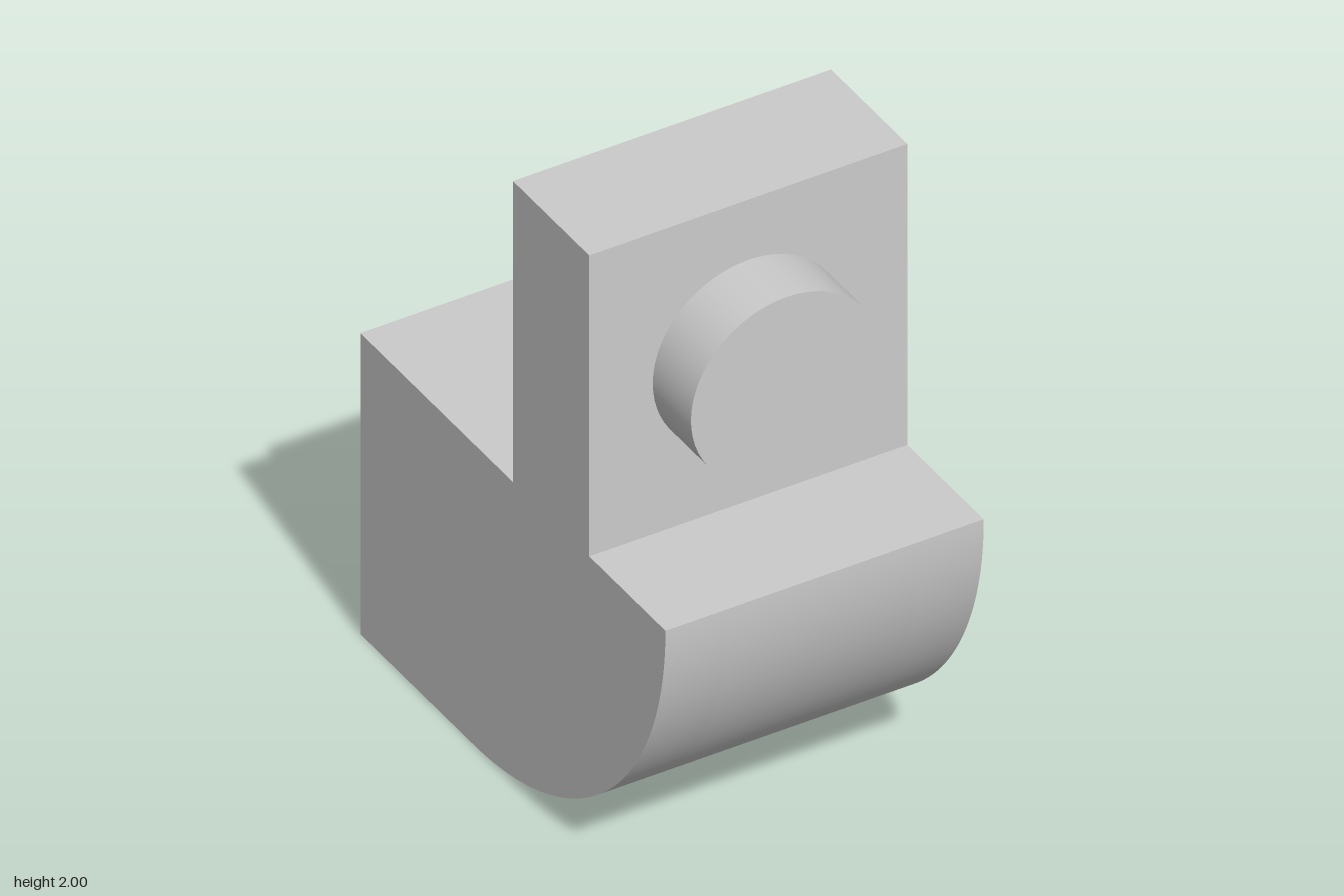
import * as THREE from 'three';
import { toCreasedNormals } from 'three/addons/utils/BufferGeometryUtils.js';

const material = new THREE.MeshStandardMaterial({ color: 0xcccccc });

function addMesh(group, name, geometry, x = 0, y = 0, z = 0) {
  const mesh = new THREE.Mesh(geometry, material);
  mesh.name = name;
  mesh.position.set(x, y, z);
  group.add(mesh);
  return mesh;
}

// Extrude a (z, y) profile along x, centred on x = 0
function extrudeAcross(shape, width) {
  const geometry = new THREE.ExtrudeGeometry(shape, { depth: width, bevelEnabled: false, curveSegments: 32 });
  geometry.translate(0, 0, -width / 2).rotateY(-Math.PI / 2);
  return toCreasedNormals(geometry, 0.5);
}

// Underside, rounded front and upright plate, shared by both profiles
function startProfile() {
  const shape = new THREE.Shape();
  shape.moveTo(-0.8, 0);
  shape.lineTo(-0.2, 0);
  shape.absarc(-0.2, 1, 1, -Math.PI / 2, 0, false);
  shape.lineTo(0.4, 1);
  shape.lineTo(0.4, 2);
  shape.lineTo(0, 2);
  return shape;
}

export function createModel() {
  const model = new THREE.Group();
  model.name = 'bracket';

  // Solid side walls
  const side = startProfile();
  side.lineTo(0, 1);
  side.lineTo(-0.8, 1);
  const sideGeometry = extrudeAcross(side, 0.2);
  addMesh(model, 'leftWall', sideGeometry, 0.4);
  addMesh(model, 'rightWall', sideGeometry, -0.4);

  // Core with the plate recess and the scooped cavity, both open at the back
  const core = startProfile();
  core.lineTo(0, 1.8);
  core.lineTo(0.2, 1.8);
  core.lineTo(0.2, 1);
  core.lineTo(-0.8, 1);
  core.lineTo(-0.8, 0.8);
  core.absarc(-0.2, 1, 0.8, Math.asin(-0.25), -Math.PI / 2, true);
  core.lineTo(-0.8, 0.2);
  addMesh(model, 'core', extrudeAcross(core, 0.6));

  // Round boss on the front of the plate
  const boss = new THREE.CylinderGeometry(0.3, 0.3, 0.2, 64).rotateX(Math.PI / 2);
  addMesh(model, 'frontBoss', boss, 0, 1.5, 0.5);

  // Small block in the recess
  addMesh(model, 'recessBlock', new THREE.BoxGeometry(0.2, 0.2, 0.2), 0, 1.1, 0.1);

  return model;
}
